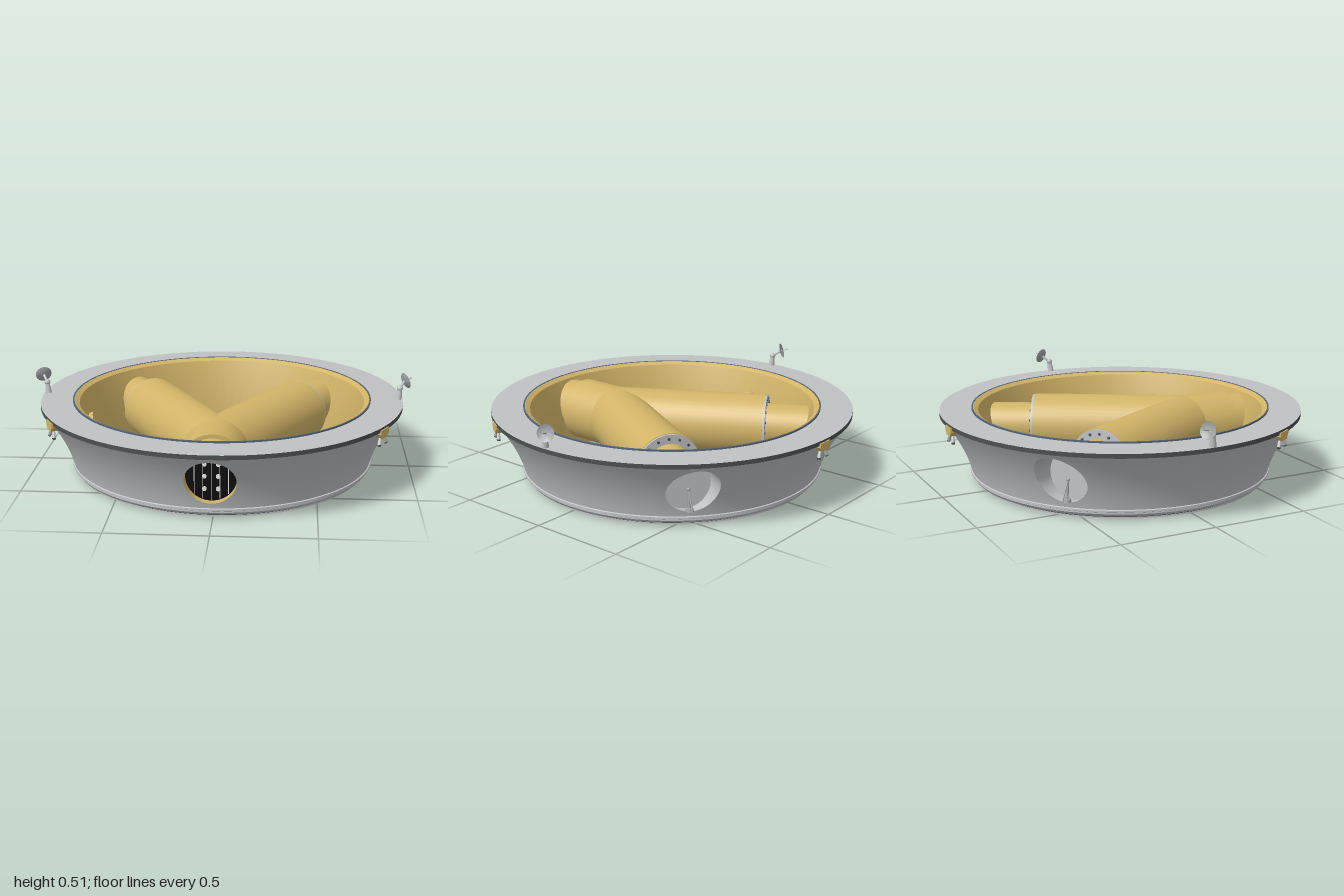
import * as THREE from 'three';
import { toCreasedNormals } from 'three/addons/utils/BufferGeometryUtils.js';
import { ParametricGeometry } from 'three/addons/geometries/ParametricGeometry.js';

const mat = (name, color) => {
  const m = new THREE.MeshStandardMaterial({ color, side: THREE.DoubleSide });
  m.name = name;
  return m;
};
const V = (x, y, z) => new THREE.Vector3(x, y, z);

export function createModel() {
  const M = {
    hull: mat('light grey', 0xbfc1c3),
    gold: mat('gold', 0xd2b468),
    dark: mat('dark trim', 0x4b504f),
    blue: mat('steel blue', 0x53667a),
    black: mat('black', 0x0c0c0c),
    white: mat('white', 0xf4f4f4),
    dish: mat('dish grey', 0xa2a4a6),
  };
  const model = new THREE.Group();
  model.name = 'ringStation';

  const add = (name, geo, material, parent = model) => {
    const mesh = new THREE.Mesh(geo, material);
    mesh.name = name;
    parent.add(mesh);
    return mesh;
  };
  const lathe = (name, pts, material, seg = 96, parent = model) => add(name,
    toCreasedNormals(new THREE.LatheGeometry(pts.map(p => new THREE.Vector2(...p)), seg), 0.5), material, parent);
  // cylinder or cone running from p to q
  const rod = (name, p, q, r0, r1, material, seg = 12, parent = model) => {
    const d = q.clone().sub(p);
    const mesh = add(name, new THREE.CylinderGeometry(r1, r0, d.length(), seg), material, parent);
    mesh.position.copy(p).addScaledVector(d, 0.5);
    mesh.quaternion.setFromUnitVectors(V(0, 1, 0), d.normalize());
    return mesh;
  };

  // flared outer wall, pierced by three round ports
  const Y0 = 0.055, Y1 = 0.358, AXIS = 0.207, PORT = 0.125, HALF = 0.26;
  const wallR = y => 0.797 + 0.25 * (y - Y0) + 0.83 * (y - Y0) ** 2;
  const onWall = (th, y, out) => out.set(wallR(y) * Math.sin(th), y, wallR(y) * Math.cos(th));
  const sector = (a, b) => add('outerWall', new ParametricGeometry(
    (u, v, out) => onWall(a + (b - a) * u, Y0 + (Y1 - Y0) * v, out), Math.ceil((b - a) * 16), 8), M.hull);

  const S = Math.sin(Math.PI / 6), C = Math.cos(Math.PI / 6);
  const ports = [
    { name: 'front', o: [0, 0], d: [0, 1], depth: 0.765, lining: M.gold, centre: 0 },
    { name: 'backLeft', o: [0, 0.4], d: [S, -C], depth: 1.08, lining: M.hull, centre: 2.4 },
    { name: 'backRight', o: [0, 0.4], d: [-S, -C], depth: 1.08, lining: M.hull, centre: -2.4 },
  ];
  for (const p of ports) {
    const [dx, dz] = p.d;
    // point on the port tube at angle a, at distance s along its axis
    const tube = (a, s) => {
      const l = PORT * Math.cos(a);
      return V(p.o[0] + dz * l + dx * s, AXIS + PORT * Math.sin(a), p.o[1] - dx * l + dz * s);
    };
    // distance at which the port tube meets the wall
    const edge = a => {
      const q = tube(a, 0), b = q.x * dx + q.z * dz;
      return -b + Math.sqrt(b * b - q.x * q.x - q.z * q.z + wallR(q.y) ** 2);
    };
    add(p.name + 'PortWall', new ParametricGeometry((u, v, out) => {
      const a = u * 2 * Math.PI, h = tube(a, edge(a));
      const k = Math.max(Math.abs(Math.cos(a)), Math.abs(Math.sin(a)));
      const th = p.centre + HALF * Math.cos(a) / k;
      const y = (Y0 + Y1) / 2 + (Y1 - Y0) / 2 * Math.sin(a) / k;
      const hth = Math.atan2(h.x, h.z);
      onWall(th + (hth - th) * v, y + (h.y - y) * v, out);
    }, 64, 5), M.hull);
    add(p.name + 'PortLining', new ParametricGeometry((u, v, out) => {
      const a = u * 2 * Math.PI;
      out.copy(tube(a, p.depth + (edge(a) - p.depth) * v));
    }, 48, 1), p.lining);
    const back = add(p.name + 'PortBack', new THREE.CircleGeometry(PORT, 48), p.lining === M.gold ? M.black : M.hull);
    back.position.set(p.o[0] + dx * p.depth, AXIS, p.o[1] + dz * p.depth);
    back.rotation.y = Math.atan2(dx, dz);
  }
  sector(HALF, 2.4 - HALF);
  sector(2.4 + HALF, 2 * Math.PI - 2.4 - HALF);
  sector(HALF - 2.4, -HALF);

  // front port grille and lights
  for (let i = -2; i <= 2; i++) {
    const x = i * 0.041, h = 2 * Math.sqrt(PORT ** 2 - x * x) - 0.01;
    add('grilleLine', new THREE.BoxGeometry(0.003, h, 0.004), M.white).position.set(x, AXIS, 0.766);
  }
  for (const x of [-0.033, 0.033]) for (const y of [-0.063, 0, 0.06]) {
    const light = add('portLight', new THREE.CylinderGeometry(0.011, 0.011, 0.008, 16), M.white);
    light.rotation.x = Math.PI / 2;
    light.position.set(x, AXIS + y, 0.77);
  }

  // base, deck, rim and inner wall
  lathe('baseBand', [[0.755, 0], [0.767, 0], [0.767, 0.014], [0.786, 0.018], [0.797, 0.032],
    [0.797, 0.04], [0.803, 0.043], [0.803, 0.052], [0.797, Y0]], M.hull);
  lathe('baseSeam', [[0.768, 0.009], [0.772, 0.012], [0.772, 0.017]], M.dark);
  lathe('deckEdge', [[0.79, 0.356], [0.957, 0.356], [0.957, 0.378]], M.dark);
  lathe('deck', [[0.957, 0.378], [0.787, 0.38]], M.hull);
  lathe('rim', [[0.79, 0.378], [0.79, 0.388], [0.782, 0.388], [0.782, 0.37]], M.blue);
  lathe('innerWall', [[0.784, 0.386], [0.779, 0.386], [0.755, 0.372], [0.64, 0.004], [0.64, 0], [0.758, 0]], M.gold);

  // round hatches on the inner wall
  for (const s of [-1, 1]) {
    const hatch = add('innerHatch', new THREE.CylinderGeometry(0.07, 0.07, 0.03, 32), M.gold);
    hatch.position.set(s * 0.692, 0.2, 0);
    hatch.rotation.z = s * (Math.PI / 2 - 0.3);
  }

  // branching tunnel
  const at = (sx, s, y = AXIS) => V(sx * S * s, y, 0.4 - C * s);
  rod('frontTunnel', V(0, AXIS, 0.4), V(0, AXIS, 0.652), 0.17, 0.17, M.gold, 48);
  rod('frontTunnelEnd', V(0, AXIS, 0.65), V(0, AXIS, 0.752), 0.15, 0.15, M.gold, 48);
  for (const sx of [-1, 1]) {
    rod('armTunnel', at(sx, 0), at(sx, 0.828), 0.17, 0.17, M.gold, 48);
    rod('armFlange', at(sx, 0.828), at(sx, 0.84), 0.167, 0.167, M.hull, 48);
    rod('armTunnelEnd', at(sx, 0.84), at(sx, 1.07), 0.12, 0.12, M.gold, 48);
    for (let i = 0; i < 16; i++) {
      const a = i / 16 * 2 * Math.PI, l = 0.145 * Math.cos(a), dy = 0.145 * Math.sin(a);
      const off = V(C * l, dy, sx * S * l);
      rod('flangeBolt', at(sx, 0.838).add(off), at(sx, 0.846).add(off), 0.007, 0.007, M.dark, 8);
    }
    // small mast inside each rear port
    const foot = at(sx, 1.12, 0.085), top = at(sx, 1.11, 0.19);
    rod('portMast', foot, top, 0.008, 0.005, M.dish, 8);
    rod('portMastBrace', at(sx, 1.16, 0.088), top, 0.004, 0.004, M.dish, 8);
    rod('portMastFoot', at(sx, 1.12, 0.082), at(sx, 1.12, 0.098), 0.022, 0.018, M.dish, 12);
    add('portMastTip', new THREE.SphereGeometry(0.009, 12, 8), M.dish).position.copy(top);
  }

  // dish antennas on the deck
  for (const [sx, n] of [[1, V(0.85, 0.3, -0.45)], [-1, V(-0.4, 0.3, -0.85)]]) {
    const antenna = new THREE.Group();
    antenna.name = sx > 0 ? 'leftAntenna' : 'rightAntenna';
    model.add(antenna);
    n.normalize();
    const base = V(sx * 0.936, 0.378, 0.005), head = V(sx * 0.942, 0.436, 0), hub = V(sx * 0.966, 0.465, -0.035);
    rod('antennaPost', base, head, 0.018, 0.011, M.hull, 12, antenna);
    add('antennaJoint', new THREE.SphereGeometry(0.016, 14, 10), M.hull, antenna).position.copy(head);
    rod('antennaArm', head, hub, 0.007, 0.007, M.hull, 8, antenna);
    const bowl = lathe('antennaDish', [[0, 0], [0.02, 0.002], [0.034, 0.006], [0.043, 0.011]], M.dish, 28, antenna);
    bowl.position.copy(hub);
    bowl.quaternion.setFromUnitVectors(V(0, 1, 0), n);
    rod('antennaFeed', hub, hub.clone().addScaledVector(n, 0.05), 0.003, 0.002, M.dish, 8, antenna);
  }

  // thruster clamps under the deck edge
  for (const th of [Math.PI / 3, -Math.PI / 3, Math.PI]) {
    const clamp = new THREE.Group();
    clamp.name = 'thrusterClamp';
    clamp.rotation.y = th;
    model.add(clamp);
    const shape = new THREE.Shape([[-0.042, 0.367], [-0.042, 0.345], [-0.024, 0.322], [0.024, 0.322],
      [0.042, 0.345], [0.042, 0.367]].map(p => new THREE.Vector2(...p)));
    add('clampBody', new THREE.ExtrudeGeometry(shape, { depth: 0.032, bevelEnabled: false }), M.gold, clamp)
      .position.z = 0.931;
    for (const s of [-1, 1]) {
      rod('thrusterNozzle', V(s * 0.014, 0.33, 0.945), V(s * 0.034, 0.29, 0.95), 0.007, 0.01, M.hull, 12, clamp);
      rod('nozzleTip', V(s * 0.034, 0.29, 0.95), V(s * 0.037, 0.284, 0.951), 0.01, 0.008, M.dark, 12, clamp);
    }
  }

  model.position.set(-0.008, 0, 0.003);
  const root = new THREE.Group();
  root.name = 'station';
  root.add(model);
  return root;
}
